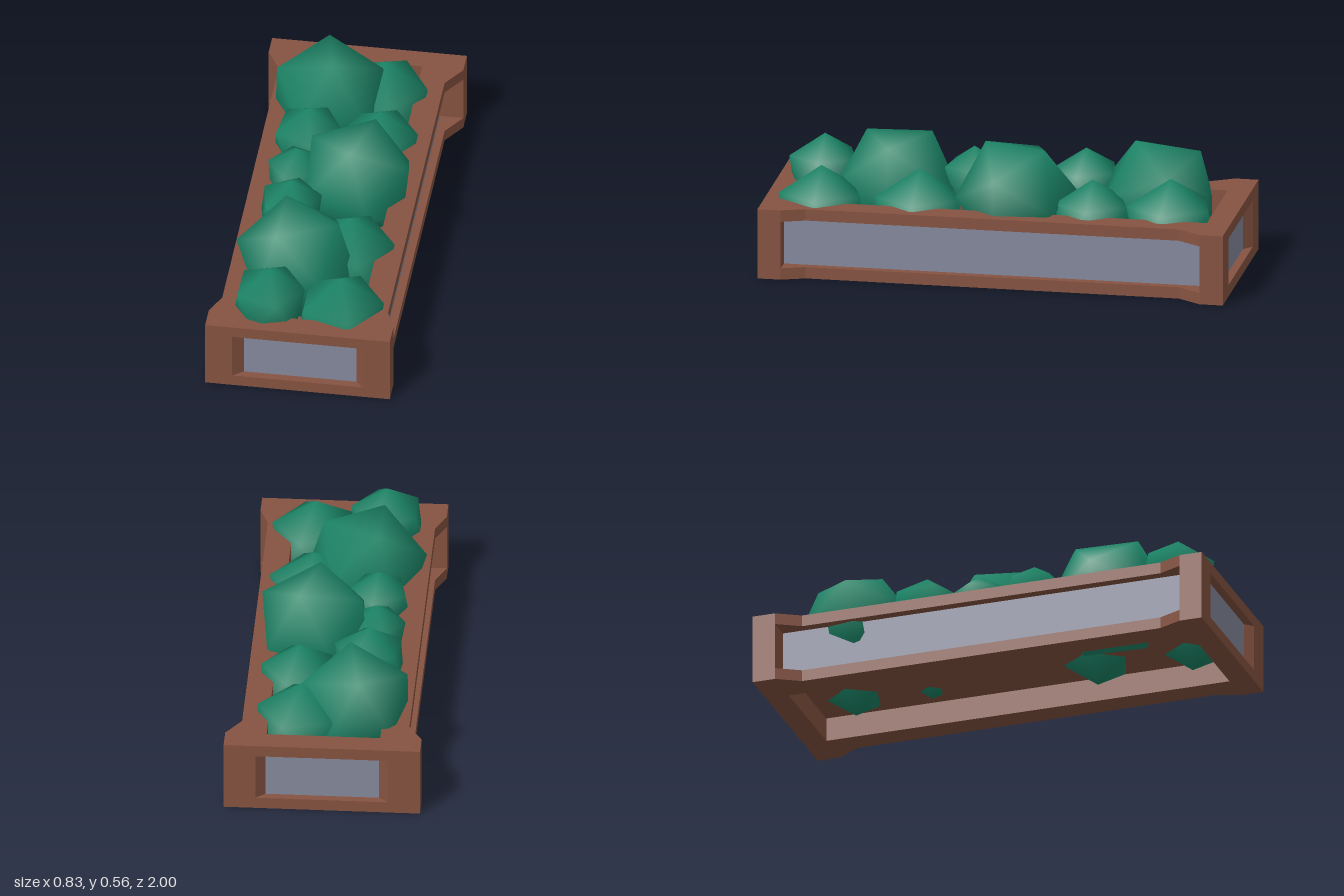
import * as THREE from 'three';
import { mergeVertices } from 'three/addons/utils/BufferGeometryUtils.js';

const mat = (name, color) => {
  const m = new THREE.MeshStandardMaterial({ color });
  m.name = name;
  return m;
};

const polygon = pts => pts.map(([x, z]) => new THREE.Vector2(x, z));
const rectangle = (x, z) => polygon([[-x, -z], [x, -z], [x, z], [-x, z]]);

// Extrudes a plan (x, z) from height y0 up to y1
function slab(outline, y0, y1, hole) {
  const shape = new THREE.Shape(outline);
  if (hole) shape.holes.push(new THREE.Path(hole));
  const g = new THREE.ExtrudeGeometry(shape, { depth: y1 - y0, bevelEnabled: false });
  return g.rotateX(Math.PI / 2).translate(0, y1, 0);
}

// Smooth-shaded icosahedron with the given direction turned upward
function bushGeometry(r, up, spin, tiltX, tiltZ) {
  let g = new THREE.IcosahedronGeometry(r, 0);
  g.deleteAttribute('normal');
  g.deleteAttribute('uv');
  g = mergeVertices(g);
  const q = new THREE.Quaternion().setFromUnitVectors(up.clone().normalize(), new THREE.Vector3(0, 1, 0));
  g.applyQuaternion(q);
  g.rotateY(spin).rotateX(tiltX).rotateZ(tiltZ);
  g.computeVertexNormals();
  return g;
}

export function createModel() {
  const model = new THREE.Group();
  const wood = mat('brown wood', 0x865341);
  const grey = mat('grey panel', 0x868a9d);
  const leaf = mat('green leaves', 0x1b8466);
  const add = (name, geometry, material, parent = model) => {
    const m = new THREE.Mesh(geometry, material);
    m.name = name;
    parent.add(m);
    return m;
  };

  const H = 0.305, LOW = 0.05, HIGH = 0.255;
  const IX = 0.24, IZ = 0.9; // inner opening
  const PX = 0.315, PZ = 0.965; // outer faces of the panels

  // Flared rims at top and bottom
  const outline = polygon([
    [-0.415, -1], [0.415, -1], [0.415, -0.9], [0.35, -0.8],
    [0.35, 0.8], [0.387, 0.9], [0.387, 1], [-0.4, 1],
    [-0.4, 0.9], [-0.357, 0.8], [-0.357, -0.8], [-0.415, -0.9],
  ]);
  add('bottomRim', slab(outline, 0, LOW, rectangle(IX, IZ)), wood);
  add('topRim', slab(outline, HIGH, H, rectangle(IX, IZ)), wood);

  // Corner posts: outer x, opening edge x, end of the box
  for (const [outer, open, end] of [
    [0.387, 0.27, 1], [-0.4, -0.285, 1], [0.415, 0.28, -1], [-0.415, -0.28, -1],
  ]) {
    const s = Math.sign(outer);
    const plan = polygon([
      [open, end], [outer, end], [outer, end * IZ],
      [s * IX, end * IZ], [s * IX, end * PZ],
    ]);
    add('cornerPost', slab(plan, LOW, HIGH), wood);
  }

  // Inner liner and soil floor
  add('liner', slab(rectangle(IX + 0.006, IZ + 0.006), LOW, HIGH, rectangle(IX, IZ)), wood);
  add('soil', new THREE.BoxGeometry(IX * 2, 0.008, IZ * 2), wood).position.y = 0.108;

  // Recessed panels
  const panelH = HIGH - LOW, panelY = (HIGH + LOW) / 2;
  for (const s of [-1, 1]) {
    add('sidePanel', new THREE.BoxGeometry(0.004, panelH, IZ * 2), grey)
      .position.set(s * (PX - 0.002), panelY, 0);
    add('endPanel', new THREE.BoxGeometry(IX * 2, panelH, 0.004), grey)
      .position.set(0, panelY, s * (PZ - 0.002));
  }

  // Bushes: centre, radius, upward direction, spin, tilts
  const t = (1 + Math.sqrt(5)) / 2;
  const corner = new THREE.Vector3(0, 1, t);
  const edge = new THREE.Vector3(0, 1, 0);
  const face = new THREE.Vector3(1, 1, 1);
  const bushes = new THREE.Group();
  bushes.name = 'bushes';
  model.add(bushes);
  for (const [x, y, z, r, up, spin, tiltX = 0, tiltZ = 0] of [
    [-0.115, 0.305, -0.63, 0.265, edge, 1.75, -0.17],
    [0.09, 0.337, -0.055, 0.264, edge, 1.3, 0, -0.1],
    [-0.085, 0.305, 0.485, 0.268, face, 0.38, 0.03, -0.06],
    [-0.155, 0.32, 0.81, 0.17, corner, 0.3],
    [0.145, 0.235, 0.77, 0.205, corner, 1.57],
    [0.12, 0.228, 0.355, 0.213, corner, 1.57],
    [-0.16, 0.32, 0.17, 0.147, corner, 0.5],
    [-0.17, 0.315, -0.07, 0.136, corner, 0.9],
    [-0.155, 0.322, -0.31, 0.165, corner, 0.2],
    [0.135, 0.255, -0.39, 0.183, corner, 1.57],
    [0.105, 0.24, -0.72, 0.21, corner, 1.5],
  ]) {
    add('bush', bushGeometry(r, up, spin, tiltX, tiltZ), leaf, bushes).position.set(x, y, z);
  }
  return model;
}
